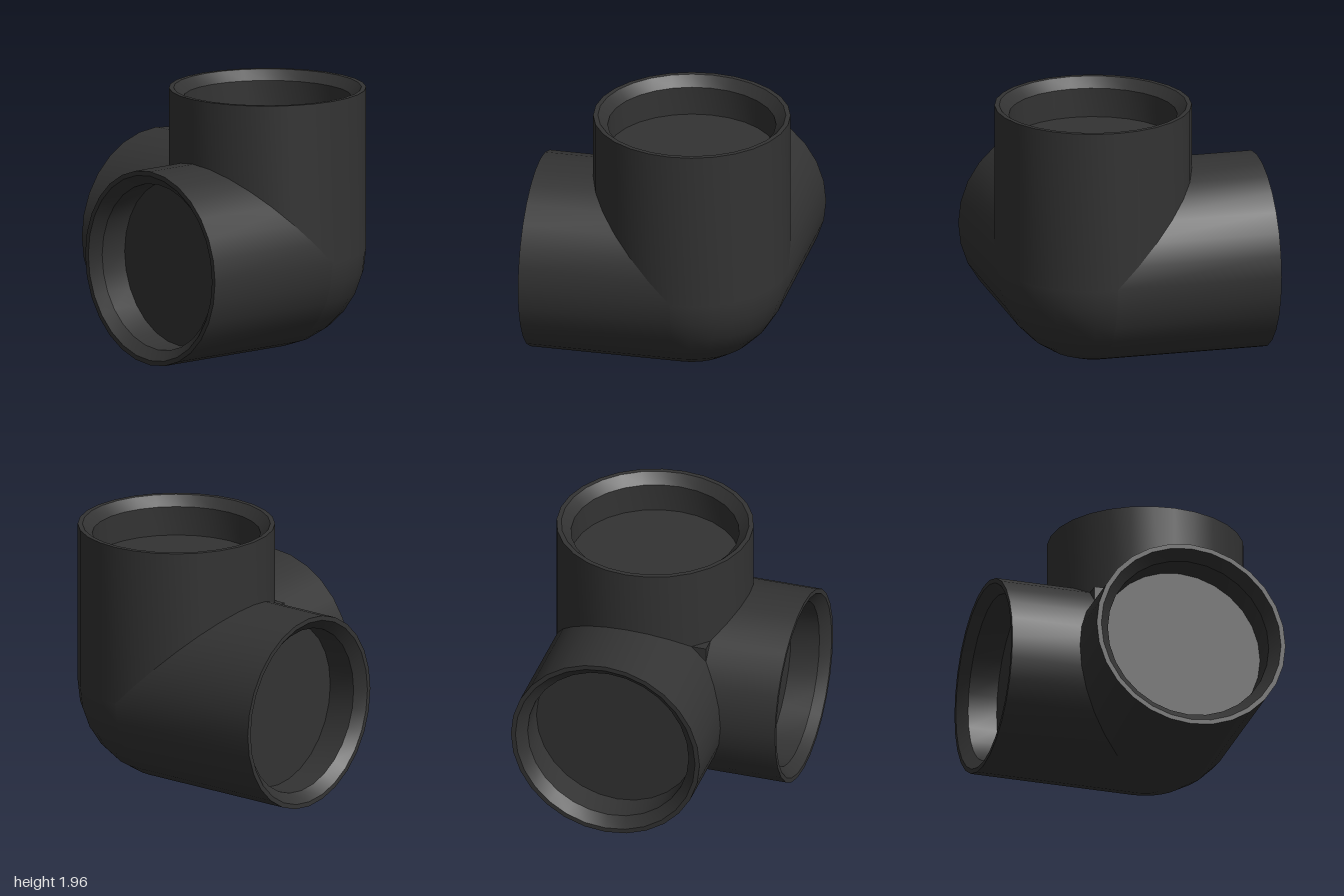
import * as THREE from 'three';
import { toCreasedNormals } from 'three/addons/utils/BufferGeometryUtils.js';

const R = 0.735;       // outer radius of every arm
const RIM = 0.7;       // inner edge of the flat rim
const BORE = 0.627;    // socket radius
const CHAMFER = 0.073; // lead-in depth
const DEPTH = 0.295;   // socket depth
const SIDES = 28;

const material = new THREE.MeshStandardMaterial({ color: 0x333333 });

function part(name, geometry) {
  const mesh = new THREE.Mesh(geometry, material);
  mesh.name = name;
  return mesh;
}

// One arm along +y from the joint centre: wall, rim, chamfered socket and its floor
function makeArm(name, length) {
  const arm = new THREE.Group();
  arm.name = name;
  const profile = [
    [R, 0], [R, length], [RIM, length],
    [BORE, length - CHAMFER], [BORE, length - DEPTH],
  ].map(([x, y]) => new THREE.Vector2(x, y));
  arm.add(part('pipeWall', toCreasedNormals(new THREE.LatheGeometry(profile, SIDES), 0.5)));

  const floor = part('socketFloor', new THREE.CircleGeometry(BORE, SIDES));
  floor.rotation.x = -Math.PI / 2;
  floor.position.y = length - DEPTH;
  arm.add(floor);
  return arm;
}

export function createModel() {
  const model = new THREE.Group();
  model.name = 'threeWayCornerFitting';

  // Everything is laid out around the point where the three axes meet
  const joint = new THREE.Group();
  joint.name = 'joint';
  joint.position.set(0.26, R, -0.215);
  model.add(joint);

  const upArm = makeArm('upArm', 1.225);
  const sideArm = makeArm('sideArm', 1.26);
  sideArm.rotation.z = Math.PI / 2;
  const frontArm = makeArm('frontArm', 1.16);
  frontArm.rotation.x = Math.PI / 2;
  joint.add(upArm, sideArm, frontArm);

  // Rounded outer corner: one eighth of a ball closing the three pipes
  joint.add(part('outerCorner', new THREE.SphereGeometry(
    R, SIDES / 4, SIDES / 4, Math.PI, Math.PI / 2, Math.PI / 2, Math.PI / 2)));

  // Small square block filling the inner corner between the pipes
  const c = 0.573;
  const block = part('innerCorner', new THREE.BoxGeometry(c, c, c));
  block.position.set(-c / 2, c / 2, c / 2);
  joint.add(block);

  return model;
}
